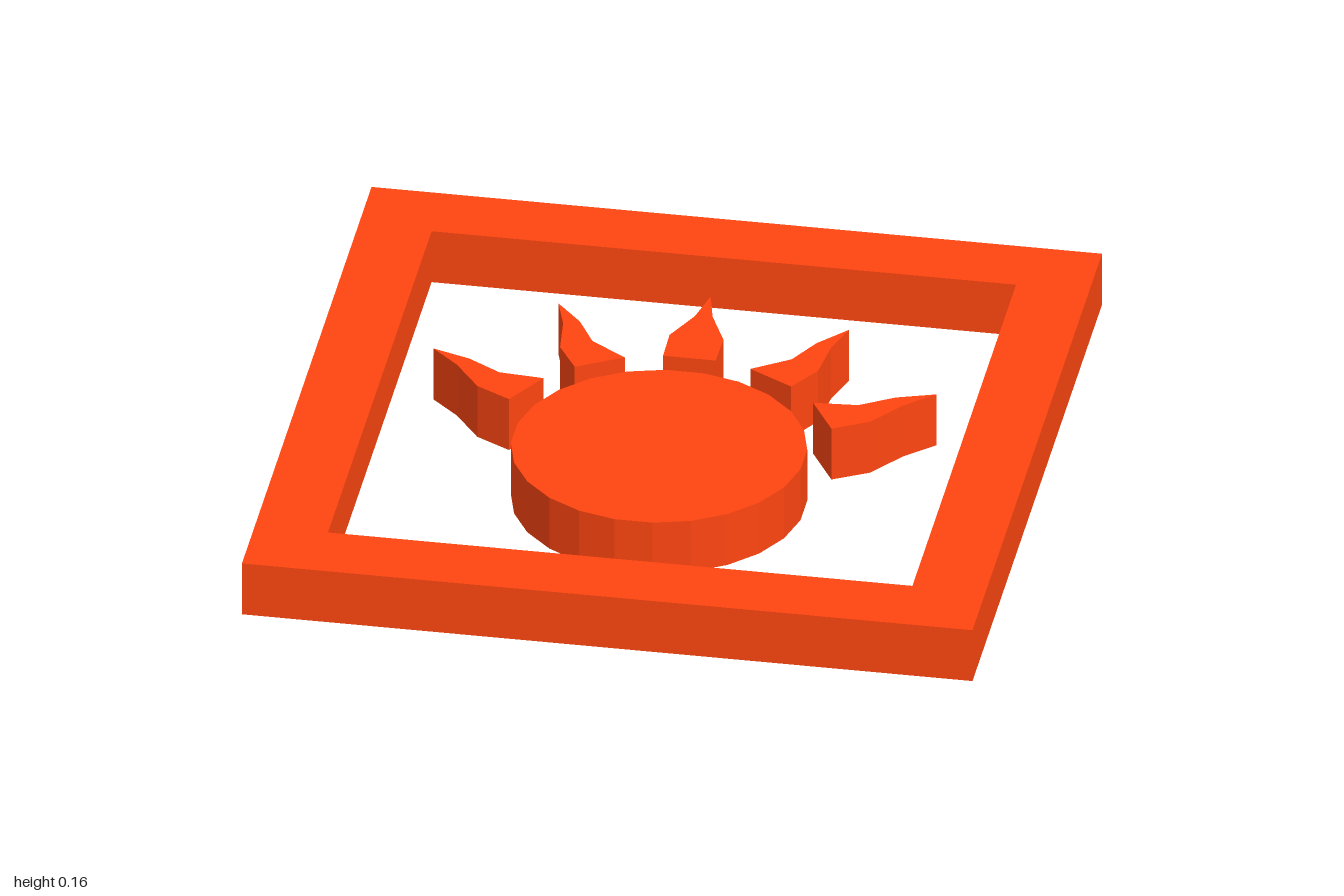
import * as THREE from 'three';

const HEIGHT = 0.16;
const SUN_Z = 0.2;

export function createModel() {
  const model = new THREE.Group();
  model.name = 'sunPlaque';
  const material = new THREE.MeshStandardMaterial({ color: 0xff4510, flatShading: true });

  const add = (name, geometry) => {
    const mesh = new THREE.Mesh(geometry, material);
    mesh.name = name;
    model.add(mesh);
    return mesh;
  };
  const points = (list) => list.map(([x, y]) => new THREE.Vector2(x, y));
  const square = (h) => points([[-h, -h], [h, -h], [h, h], [-h, h]]);
  // Extrude a plan outline upward; plan y points to the back (-z)
  const slab = (shape) =>
    new THREE.ExtrudeGeometry(shape, { depth: HEIGHT, bevelEnabled: false }).rotateX(-Math.PI / 2);

  // Square frame with open middle
  const frame = new THREE.Shape(square(1));
  frame.holes.push(new THREE.Path(square(0.8).reverse()));
  add('frame', slab(frame));

  // 24-sided sun disc with flats on the axes
  const disc = new THREE.CylinderGeometry(0.4, 0.4, HEIGHT, 24);
  disc.rotateY(Math.PI / 24).translate(0, HEIGHT / 2, SUN_Z);
  add('sunDisc', disc);

  // Ray outline: side offset and distance from the disc centre.
  // The side rays are pinched on the edge facing the middle ray.
  const rayOutline = (shoulder, neck, side) => {
    const outline = [
      [-0.072, 0.468], [0.072, 0.468], [0.074, 0.578], [0.024, 0.692],
      [0, 0.795], [-neck, 0.686], [-shoulder, 0.578],
    ];
    return new THREE.Shape(points(outline.map(([x, y]) => [x * side, y])));
  };
  const addRay = (name, shape, angle) => {
    const ray = add(name, slab(shape));
    ray.position.z = SUN_Z;
    ray.rotation.y = -angle;
  };

  addRay('middleRay', rayOutline(0.074, 0.024, 1), 0);
  for (const side of [1, -1]) {
    const label = side > 0 ? 'left' : 'right';
    for (const [part, degrees] of [['InnerRay', 30], ['OuterRay', 60]]) {
      addRay(label + part, rayOutline(0.019, 0.022, side), side * THREE.MathUtils.degToRad(degrees));
    }
  }
  return model;
}
